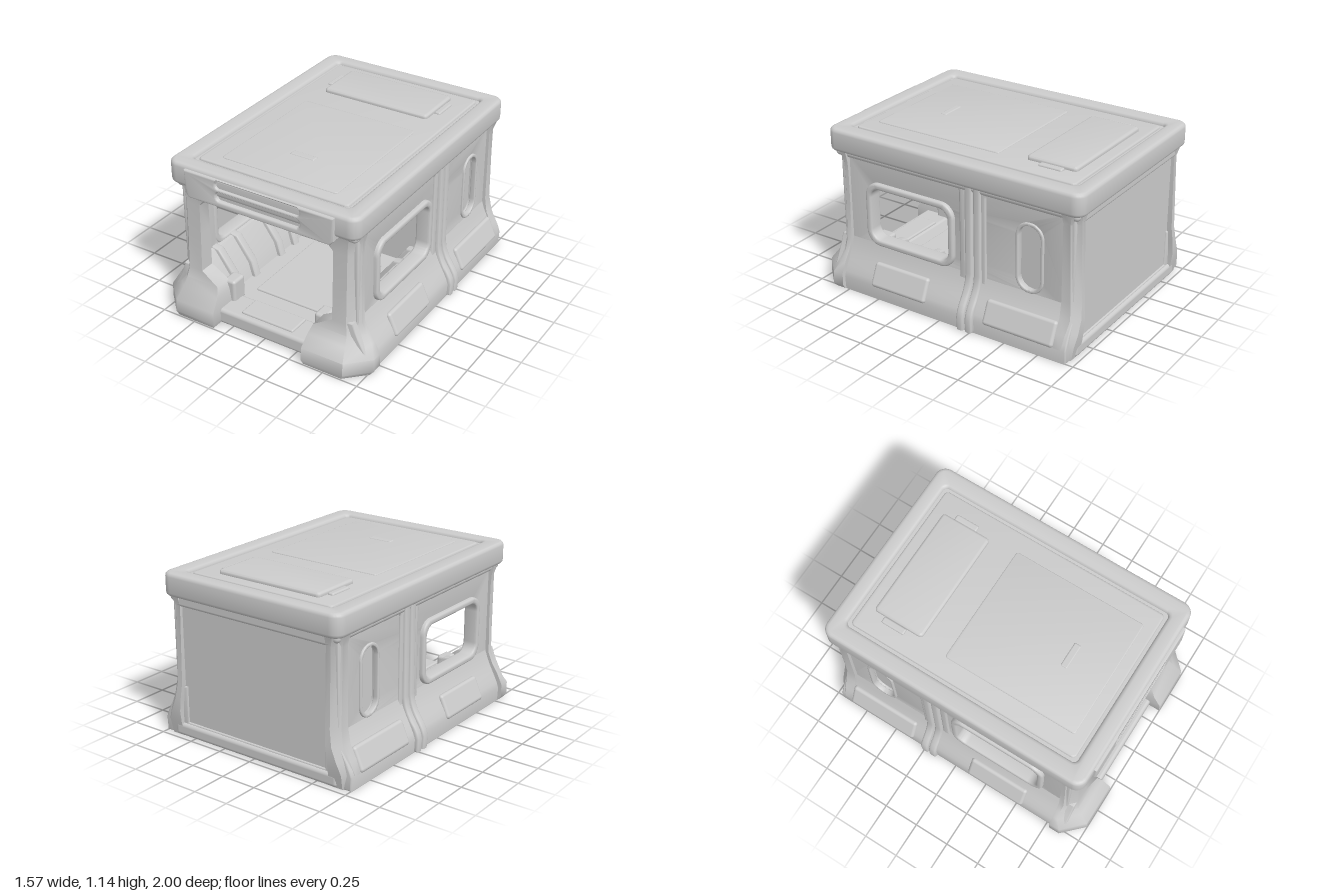
import * as THREE from 'three';
import { toCreasedNormals } from 'three/addons/utils/BufferGeometryUtils.js';
import { RoundedBoxGeometry } from 'three/addons/geometries/RoundedBoxGeometry.js';

const material = new THREE.MeshStandardMaterial({ color: 0xcccccc, side: THREE.DoubleSide });

// Closed outline from points
const poly = (pts, Type = THREE.Shape) => new Type(pts.map(([x, y]) => new THREE.Vector2(x, y)));

// Rounded rectangle between two corners
function roundRect(x0, y0, x1, y1, r, Type = THREE.Shape) {
  const s = new Type();
  s.moveTo(x0 + r, y0);
  s.absarc(x1 - r, y0 + r, r, -Math.PI / 2, 0);
  s.absarc(x1 - r, y1 - r, r, 0, Math.PI / 2);
  s.absarc(x0 + r, y1 - r, r, Math.PI / 2, Math.PI);
  s.absarc(x0 + r, y0 + r, r, Math.PI, Math.PI * 1.5);
  s.closePath();
  return s;
}

// Extrusion from z0 to z1 with softened edges that keep the outline size
function extrude(shape, z0, z1, b = 0.012) {
  const g = new THREE.ExtrudeGeometry(shape, {
    depth: z1 - z0 - 2 * b, bevelEnabled: b > 0, bevelThickness: b, bevelSize: b,
    bevelOffset: -b, bevelSegments: 3, curveSegments: 6,
  });
  return toCreasedNormals(g.translate(0, 0, z0 + b), 0.6);
}
// Outline drawn in (-z, y), extruded along x
const extrudeX = (shape, x0, x1, b) => extrude(shape, x0, x1, b).rotateY(Math.PI / 2);
// Outline drawn in (x, -z), extruded along y
const extrudeY = (shape, y0, y1, b) => extrude(shape, y0, y1, b).rotateX(-Math.PI / 2);

function roundBox(x0, x1, y0, y1, z0, z1, r = 0.02) {
  return new RoundedBoxGeometry(x1 - x0, y1 - y0, z1 - z0, 3, r)
    .translate((x0 + x1) / 2, (y0 + y1) / 2, (z0 + z1) / 2);
}

// Post lofted through sections [y, inner x, outer x, inner z, outer z, corner chamfer]
function loft(sections) {
  const pos = [], idx = [], n = 5, dir = Math.sign(sections[0][4]);
  for (const [y, xi, xo, zi, zo, c] of sections)
    pos.push(xi, y, zi, xo, y, zi, xo, y, zo - dir * c, xo - c, y, zo, xi, y, zo);
  const tri = (a, b, c) => (dir > 0 ? idx.push(a, c, b) : idx.push(a, b, c));
  for (let s = 0; s < sections.length - 1; s++)
    for (let i = 0; i < n; i++) {
      const a = s * n + i, b = s * n + (i + 1) % n;
      tri(a, b, a + n); tri(b, b + n, a + n);
    }
  const t = (sections.length - 1) * n;
  for (let i = 1; i < n - 1; i++) { tri(0, i + 1, i); tri(t, t + i, t + i + 1); }
  const g = new THREE.BufferGeometry();
  g.setAttribute('position', new THREE.Float32BufferAttribute(pos, 3));
  g.setIndex(idx);
  return toCreasedNormals(g, 0.75);
}

// Mirror across x, turning the faces back outwards
function mirror(geometry) {
  const g = geometry.index ? geometry.toNonIndexed() : geometry.clone();
  g.scale(-1, 1, 1);
  for (const a of [g.attributes.position, g.attributes.normal])
    for (let i = 0; i < a.count; i += 3)
      for (let k = 0; k < 3; k++) {
        const j = (i + 1) * 3 + k, v = a.array[j];
        a.array[j] = a.array[j + 3];
        a.array[j + 3] = v;
      }
  return g;
}

export function createModel() {
  const model = new THREE.Group();
  model.name = 'cabin';
  const add = (name, g) => {
    const m = new THREE.Mesh(g, material);
    m.name = name;
    model.add(m);
  };
  const pair = (name, g) => { add(name + 'Left', g); add(name + 'Right', mirror(g)); };

  // Floor, front sill, rear wall and bulkhead
  add('floor', roundBox(-0.7, 0.7, 0, 0.1, -0.95, 0.85, 0.01));
  add('frontSill', roundBox(-0.4, 0.4, 0, 0.11, 0.7, 0.92, 0.025));
  add('sillStep', roundBox(-0.2, 0.2, 0.09, 0.125, 0.72, 0.88, 0.012));
  add('rearWall', roundBox(-0.62, 0.62, 0.02, 0.98, -0.94, -0.88, 0.01));
  add('rearLip', roundBox(-0.66, 0.66, 0, 0.09, -0.97, -0.88, 0.025));
  add('rearHeader', roundBox(-0.62, 0.62, 0.9, 0.98, -0.965, -0.88, 0.02));
  add('bulkhead', roundBox(-0.62, 0.62, 0.05, 1, -0.3, -0.23, 0.01));
  add('bulkheadPad', roundBox(-0.4, 0.4, 0.58, 0.8, -0.26, -0.215, 0.014));
  add('bulkheadLatch', roundBox(-0.12, 0.12, 0.33, 0.43, -0.26, -0.205, 0.02));
  add('floorMat', roundBox(-0.28, 0.28, 0.08, 0.115, -0.1, 0.6, 0.012));

  // Side walls with a window and a recessed slot
  const wall = poly([[-0.83, 0.27], [0.93, 0.27], [0.93, 0.98], [-0.83, 0.98]]);
  wall.holes.push(roundRect(-0.6, 0.39, 0.02, 0.76, 0.06, THREE.Path));
  wall.holes.push(roundRect(0.53, 0.36, 0.71, 0.82, 0.085, THREE.Path));
  pair('sideWall', extrudeX(wall, 0.575, 0.645, 0.01));
  pair('slotBack', roundBox(0.57, 0.605, 0.3, 0.88, -0.78, -0.45, 0.005));

  const ring = (x0, y0, x1, y1, r, w) => {
    const s = roundRect(x0, y0, x1, y1, r);
    s.holes.push(roundRect(x0 + w, y0 + w, x1 - w, y1 - w, r - w * 0.7, THREE.Path));
    return s;
  };
  pair('windowFrame', extrudeX(ring(-0.64, 0.35, 0.06, 0.8, 0.1, 0.042), 0.57, 0.675, 0.014));
  pair('slotFrame', extrudeX(ring(0.52, 0.35, 0.72, 0.83, 0.095, 0.02), 0.62, 0.658, 0.006));
  pair('frontPanelBorder', extrudeX(ring(-0.84, 0.25, 0.15, 0.99, 0.07, 0.05), 0.62, 0.658, 0.01));
  pair('rearPanelBorder', extrudeX(ring(0.26, 0.25, 0.94, 0.99, 0.07, 0.04), 0.62, 0.658, 0.01));

  // Flared skirt with raised pads
  const skirt = new THREE.Shape();
  skirt.moveTo(0.56, 0);
  skirt.lineTo(0.755, 0);
  skirt.lineTo(0.76, 0.09);
  skirt.bezierCurveTo(0.74, 0.17, 0.68, 0.23, 0.645, 0.35);
  skirt.lineTo(0.56, 0.35);
  pair('skirt', extrude(skirt, -0.95, 0.88, 0.01));
  for (const [name, z, len] of [['frontSkirtPad', 0.33, 0.44], ['rearSkirtPad', -0.6, 0.52]]) {
    const pad = new RoundedBoxGeometry(0.05, 0.17, len, 3, 0.022);
    pair(name, pad.rotateZ(0.42).translate(0.722, 0.165, z));
  }

  // Twin ribs that follow the wall down over the skirt
  const rib = new THREE.Shape();
  rib.moveTo(0.6, 0);
  rib.lineTo(0.78, 0);
  rib.lineTo(0.785, 0.09);
  rib.bezierCurveTo(0.77, 0.19, 0.685, 0.22, 0.675, 0.36);
  rib.lineTo(0.675, 0.98);
  rib.lineTo(0.6, 0.98);
  for (const z of [-0.205, -0.27]) pair('wallRib', extrude(rib, z, z + 0.055, 0.014));

  // Front posts growing into feet, and rear corner posts
  pair('frontPost', loft([
    [0, 0.35, 0.76, 0.78, 0.99, 0.13], [0.03, 0.34, 0.785, 0.78, 1, 0.14],
    [0.12, 0.34, 0.785, 0.78, 0.995, 0.14], [0.2, 0.35, 0.745, 0.78, 0.935, 0.12],
    [0.26, 0.37, 0.705, 0.78, 0.9, 0.09], [0.335, 0.5, 0.672, 0.78, 0.885, 0.07],
    [0.6, 0.5, 0.665, 0.78, 0.875, 0.065], [0.82, 0.5, 0.665, 0.78, 0.87, 0.065],
    [0.9, 0.46, 0.67, 0.78, 0.872, 0.065], [0.98, 0.44, 0.69, 0.78, 0.89, 0.065],
  ]));
  pair('rearPost', loft([
    [0, 0.6, 0.755, -0.86, -0.955, 0.06], [0.1, 0.6, 0.76, -0.86, -0.975, 0.06],
    [0.18, 0.6, 0.73, -0.86, -0.985, 0.06], [0.27, 0.59, 0.685, -0.86, -0.985, 0.05],
    [0.38, 0.58, 0.667, -0.86, -0.975, 0.05], [0.9, 0.58, 0.665, -0.86, -0.96, 0.05],
    [0.98, 0.58, 0.69, -0.86, -0.98, 0.05],
  ]));

  // Sloped interior ledges with ribs
  pair('innerLedge', extrude(poly([[0.6, 0.06], [0.6, 0.38], [0.55, 0.37], [0.43, 0.2], [0.39, 0.06]]), -0.25, 0.82, 0.012));
  const ledgeRib = poly([[0.58, 0.06], [0.58, 0.385], [0.52, 0.375], [0.4, 0.21], [0.36, 0.06]]);
  for (const z of [-0.05, 0.12, 0.42, 0.62]) pair('ledgeRib', extrude(ledgeRib, z, z + 0.06, 0.012));
  pair('sillBracket', roundBox(0.31, 0.4, 0.08, 0.26, 0.68, 0.8, 0.02));

  // Lintel over the front opening
  add('lintel', extrude(poly([[-0.52, 0.8], [-0.46, 0.86], [0.46, 0.86], [0.52, 0.8], [0.52, 0.98], [-0.52, 0.98]]), 0.78, 0.87, 0.008));
  const brow = poly([[-0.52, 0.91], [0.52, 0.91], [0.545, 0.94], [0.55, 1.1], [-0.55, 1.1], [-0.545, 0.94]]);
  brow.holes.push(roundRect(-0.31, 1.035, 0.31, 1.09, 0.026, THREE.Path));
  brow.holes.push(roundRect(-0.31, 0.95, 0.31, 1.015, 0.03, THREE.Path));
  add('brow', extrude(brow, 0.83, 0.945, 0.012));
  add('browBack', roundBox(-0.5, 0.5, 0.915, 1.08, 0.8, 0.915, 0.01));

  // Roof: rounded rim around a sunken deck
  const rim = roundRect(-0.7, -0.925, 0.7, 1, 0.075);
  rim.holes.push(roundRect(-0.575, -0.81, 0.575, 0.89, 0.03, THREE.Path));
  add('roofRim', extrudeY(rim, 0.965, 1.122, 0.026));
  add('roofDeck', roundBox(-0.63, 0.63, 0.95, 1.098, -0.94, 0.87, 0.01));
  add('cornice', roundBox(-0.67, 0.67, 0.925, 1.05, -0.965, 0.885, 0.03));
  add('deckField', extrudeY(roundRect(-0.555, -0.79, 0.555, 0.87, 0.03), 1.07, 1.112, 0.012));
  add('deckPanel', extrudeY(roundRect(-0.425, -0.71, 0.425, 0.24, 0.02), 1.09, 1.119, 0.006));
  add('roofPad', extrudeY(roundRect(-0.4, 0.43, 0.4, 0.79, 0.025), 1.09, 1.14, 0.018));
  pair('roofPadClip', roundBox(0.4, 0.445, 1.09, 1.125, -0.71, -0.54, 0.012));
  add('deckHandle', roundBox(-0.09, 0.09, 1.1, 1.125, 0.4, 0.45, 0.01));
  return model;
}
